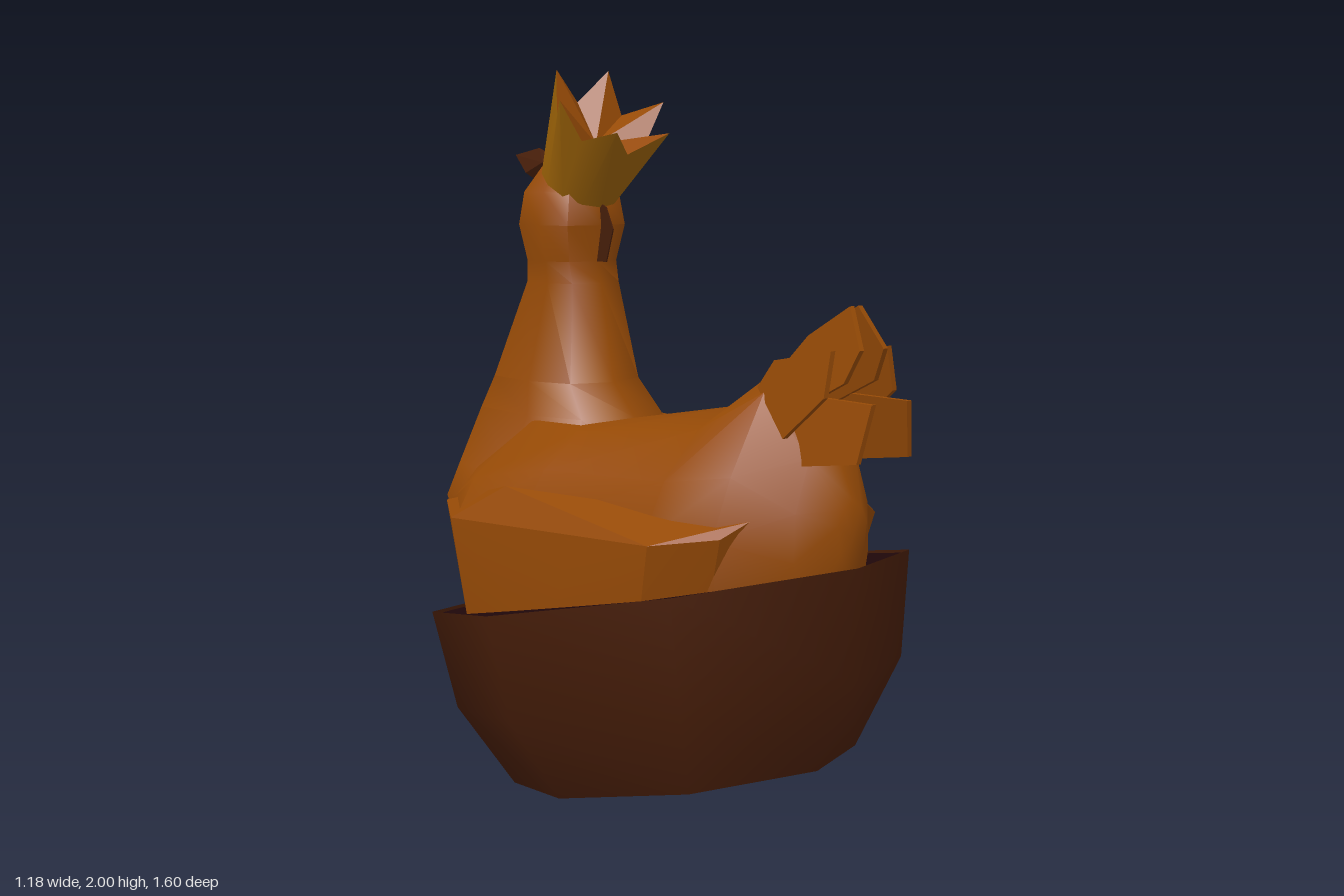
import * as THREE from 'three';
import { toCreasedNormals } from 'three/addons/utils/BufferGeometryUtils.js';
import { ConvexGeometry } from 'three/addons/geometries/ConvexGeometry.js';

const material = (name, color) => {
  const m = new THREE.MeshStandardMaterial({ color, side: THREE.DoubleSide });
  m.name = name;
  return m;
};

// Triangles from a flat list of points, smooth except at sharp edges
function surface(points, crease) {
  const g = new THREE.BufferGeometry();
  g.setAttribute('position', new THREE.Float32BufferAttribute(points.flat(), 3));
  return toCreasedNormals(g, crease);
}

// Closed rings of points joined one after another, with optional end caps
function loft(rings, { capStart = false, capEnd = false, crease = 0.6 } = {}) {
  const out = [];
  const n = rings[0].length;
  for (let i = 0; i < rings.length - 1; i++) {
    for (let k = 0; k < n; k++) {
      const j = (k + 1) % n;
      const a = rings[i][k], b = rings[i][j], c = rings[i + 1][k], d = rings[i + 1][j];
      out.push(a, b, c, b, d, c);
    }
  }
  const cap = (r, flip) => {
    const mid = [0, 1, 2].map((q) => r.reduce((s, p) => s + p[q], 0) / n);
    r.forEach((p, k) => {
      const next = r[(k + 1) % n];
      out.push(mid, ...(flip ? [next, p] : [p, next]));
    });
  };
  if (capStart) cap(rings[0], true);
  if (capEnd) cap(rings[rings.length - 1], false);
  return surface(out, crease);
}

// Full ring from half a profile whose first and last points lie on x = 0
const mirrorRing = (half) => [...half, ...half.slice(1, -1).reverse().map(([x, y, z]) => [-x, y, z])];

export function createModel() {
  const model = new THREE.Group();
  model.name = 'henInBowl';
  const feather = material('featherOrange', 0x964a06);
  const clay = material('bowlBrown', 0x481e09);
  const nestDark = material('nestDark', 0x20070a);
  const horn = material('combBrown', 0x461e0a);
  const gold = material('crownGold', 0xa06508);
  const add = (name, geometry, mat, parent = model) => {
    const mesh = new THREE.Mesh(geometry, mat);
    mesh.name = name;
    parent.add(mesh);
    return mesh;
  };

  // Bowl: open eight-sided wall, tilted towards the hen's breast
  const tiltedRing = ([rx, zBack, zFront, yBack, yFront]) =>
    Array.from({ length: 8 }, (_, k) => {
      const a = (k * Math.PI) / 4;
      const t = (1 - Math.cos(a)) / 2;
      return [rx * Math.sin(a), yBack + (yFront - yBack) * t, zBack + (zFront - zBack) * t];
    });
  const bowlRings = [
    [0.42, 0.57, -0.475, 0.24, 0.005],
    [0.55, 0.69, -0.66, 0.495, 0.2],
    [0.59, 0.7, -0.75, 0.785, 0.46],
  ].map(tiltedRing);
  add('bowl', loft(bowlRings, { crease: 0.95 }), clay);

  // Dark nest surface just under the rim
  const nest = tiltedRing([0.585, 0.695, -0.745, 0.777, 0.452]);
  const nestTriangles = [];
  for (let k = 1; k < 7; k++) nestTriangles.push(nest[0], nest[k], nest[k + 1]);
  add('nestSurface', surface(nestTriangles, 0.6), nestDark);

  // Body: cross-sections from rump to breast; each lists half a profile [x, y], top to bottom
  const sections = [
    [0.68, [0, 0.95], [0.03, 0.93], [0.05, 0.89], [0.04, 0.82], [0.02, 0.78], [0, 0.77]],
    [0.61, [0, 1.09], [0.08, 1.05], [0.125, 0.92], [0.13, 0.8], [0.1, 0.64], [0, 0.6]],
    [0.47, [0, 1.28], [0.1, 1.2], [0.21, 1.0], [0.27, 0.85], [0.25, 0.6], [0, 0.38]],
    [0.28, [0, 1.14], [0.15, 1.09], [0.26, 0.97], [0.33, 0.83], [0.32, 0.55], [0, 0.28]],
    [-0.15, [0, 1.06], [0.19, 1.04], [0.31, 0.95], [0.4, 0.82], [0.38, 0.55], [0, 0.27]],
    [-0.36, [0, 1.08], [0.19, 1.05], [0.39, 0.91], [0.45, 0.81], [0.42, 0.55], [0, 0.3]],
    [-0.54, [0, 1.02], [0.16, 0.98], [0.25, 0.91], [0.34, 0.82], [0.28, 0.55], [0, 0.4]],
  ];
  const bodyRings = sections.map(([z, ...half]) => mirrorRing(half.map(([x, y]) => [x, y, z])));
  add('body', loft(bodyRings, { capStart: true, capEnd: true, crease: 0.8 }), feather);

  // Breast, neck and head: level rings [y, z behind, z ahead, half width, z of the side edge]
  const neckRings = [
    [0.42, -0.1, -0.655, 0.27, -0.49],
    [0.83, -0.1, -0.78, 0.355, -0.56],
    [0.91, -0.1, -0.8, 0.29, -0.59],
    [1.06, -0.15, -0.735, 0.195, -0.61],
    [1.15, -0.24, -0.695, 0.168, -0.58],
    [1.42, -0.295, -0.565, 0.113, -0.49],
    [1.48, -0.31, -0.555, 0.115, -0.485],
    [1.58, -0.29, -0.58, 0.14, -0.49],
    [1.67, -0.3, -0.56, 0.12, -0.49],
    [1.745, -0.37, -0.5, 0.065, -0.47],
  ].map(([y, back, front, w, edge]) => mirrorRing([
    [0, y, back], [0.72 * w, y, back + 0.12 * (edge - back)], [w, y, (back + edge) / 2],
    [0.97 * w, y, edge], [0, y, front],
  ]));
  add('breastNeckAndHead', loft(neckRings, { capStart: true, capEnd: true, crease: 0.9 }), feather);

  // Folded wings
  const wing = [
    [0.2, 0.9, 0.53], [0.27, 0.89, 0.3], [0.32, 0.87, 0.1], [0.4, 0.91, -0.2],
    [0.27, 0.86, 0.5], [0.39, 0.84, 0.37], [0.42, 0.82, 0.1], [0.468, 0.81, -0.36],
    [0.37, 0.55, 0.3], [0.42, 0.5, 0], [0.44, 0.5, -0.32], [0.36, 0.82, -0.54],
    [0.25, 0.6, 0.42], [0.2, 0.6, 0],
  ];
  for (const [s, name] of [[1, 'leftWing'], [-1, 'rightWing']]) {
    const points = wing.map(([x, y, z]) => new THREE.Vector3(s * x, y, z));
    add(name, toCreasedNormals(new ConvexGeometry(points), 0.35), feather);
  }

  // Flat plate with a side outline [z, y]; x follows the rule xAt(z, y)
  const plate = (edge, depth, xAt) => {
    const shape = new THREE.Shape(edge.map(([z, y]) => new THREE.Vector2(-z, y)));
    const g = new THREE.ExtrudeGeometry(shape, { depth, bevelEnabled: false });
    g.translate(0, 0, -depth / 2).rotateY(Math.PI / 2);
    const p = g.attributes.position;
    for (let i = 0; i < p.count; i++) p.setX(i, p.getX(i) + xAt(p.getZ(i), p.getY(i)));
    g.computeVertexNormals();
    return g;
  };

  // Tail feathers, three on each side
  const tail = [
    ['UpperTailFeather', [[0.68, 1.42], [0.74, 1.32], [0.7, 1.24], [0.58, 1.18], [0.46, 1.26], [0.54, 1.34]], 0.03, 0.12],
    ['OuterTailFeather', [[0.7, 1.32], [0.7, 1.21], [0.57, 1.1], [0.44, 1.21], [0.49, 1.28]], 0.09, 0.12],
    ['LowerTailFeather', [[0.8, 1.2], [0.78, 1.06], [0.58, 1.03], [0.5, 1.1], [0.62, 1.2]], 0.05, 0.03],
  ];
  for (const [s, side] of [[1, 'left'], [-1, 'right']]) {
    for (const [name, edge, x, spread] of tail) {
      const xAt = (z, y) => s * (x + spread * (z - 0.45) + 0.2 * (1.2 - y));
      add(side + name, plate(edge, 0.015, xAt), feather);
    }
  }

  // Beak, a wedge narrowing to its tip and edges
  const wedge = (edge, centre, w) => new ConvexGeometry([
    ...edge.map(([z, y]) => new THREE.Vector3(0, y, z)),
    ...centre.flatMap(([z, y]) => [w, -w].map((x) => new THREE.Vector3(x, y, z))),
  ]);
  add('beak', wedge([[-0.46, 1.75], [-0.575, 1.79], [-0.69, 1.77], [-0.52, 1.67]], [[-0.5, 1.75], [-0.58, 1.72]], 0.045), horn);

  // Wattle under the beak and thin crest flap behind the head
  add('wattle', wedge([[-0.53, 1.69], [-0.6, 1.65], [-0.633, 1.57], [-0.605, 1.47], [-0.555, 1.47]],
    [[-0.57, 1.62], [-0.58, 1.52]], 0.05), horn);
  add('crestFlap', plate([[-0.32, 1.65], [-0.27, 1.63], [-0.24, 1.57], [-0.27, 1.48], [-0.32, 1.48]], 0.004, () => 0), horn);

  // Crown: six points on a flared cup leaning back; t is depth below the points
  const crownPoint = (angle, r, t) => {
    const back = r * Math.cos(angle);
    return [r * Math.sin(angle), 1.915 - 0.84 * t - 0.55 * back, -0.24 - 0.55 * t + 0.84 * back];
  };
  const base = [], rim = [];
  for (let k = 0; k < 12; k++) {
    const a = (k * Math.PI) / 6;
    base.push(crownPoint(a, 0.112, 0.268));
    rim.push(k % 2 ? crownPoint(a, 0.18, 0) : crownPoint(a, 0.13, 0.085));
  }
  const crown = new THREE.Group();
  crown.name = 'crown';
  model.add(crown);
  add('crownOutside', loft([base, rim], { crease: 1.3 }), gold, crown);
  const apex = crownPoint(0, 0, 0.135);
  const lining = rim.flatMap((p, k) => [apex, p, rim[(k + 1) % 12]]);
  add('crownInside', surface(lining, 0.1), feather, crown);

  return model;
}
